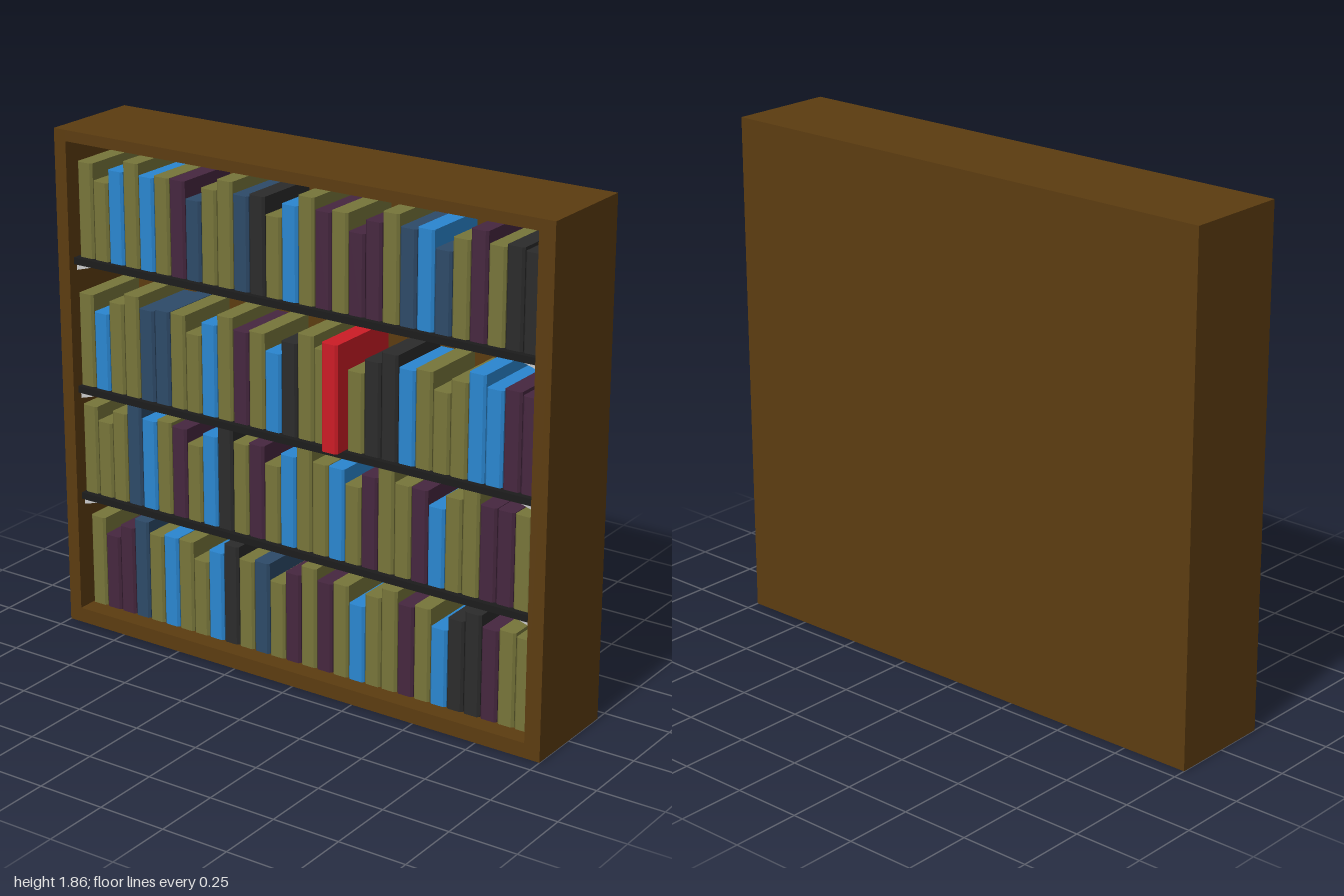
import * as THREE from 'three';

const mat = (color) => new THREE.MeshStandardMaterial({ color, flatShading: true });
const wood = mat(0x5c3c10), black = mat(0x1c1c1c), grey = mat(0xcccccc);
const covers = {
  O: mat(0x77753a), B: mat(0x2a86d0), P: mat(0x46273f),
  N: mat(0x2d4a68), K: mat(0x2b2b2b), R: mat(0xcc1c26),
};
const heights = [0, 0.285, 0.335, 0.345, 0.375, 0.385];

// Each book is a cover letter followed by a height step.
const rows = [
  { y: 1.395, x0: -0.942, x1: 0.932, books: 'O3 O1 B2 O4 B2 O3 P3 N1 O2 O4 N2 K3 O1 B2 O4 P2 O3 P1 P2 O4 N2 B3 N1 O2 P4 O2 K3 K2' },
  { y: 0.915, x0: -0.955, x1: 0.937, books: 'O3 B1 O2 O4 N2 N3 O3 O1 B2 O4 P2 O3 B1 K2 O4 O2 R5 O1 K2 K4 B2 O3 O1 O2 B4 B2 P3 P2' },
  { y: 0.505, x0: -0.952, x1: 0.92, books: 'O2 O1 O2 N4 B2 O3 P2 O1 B2 K4 O2 P3 O1 B2 O4 O2 B2 O1 P2 O4 O2 P2 B1 O2 O4 P2 P2 O2' },
  { y: 0.07, x0: -0.93, x1: 0.936, books: 'O3 P1 P2 N4 O2 B3 O3 O1 B2 K4 O2 N3 O1 P2 O4 P2 O3 B1 O2 O4 P2 O3 B1 K2 K4 P2 O3 O2' },
];

// Box given by its minimum and maximum corners
function slab(name, material, x0, x1, y0, y1, z0, z1) {
  const m = new THREE.Mesh(new THREE.BoxGeometry(x1 - x0, y1 - y0, z1 - z0), material);
  m.position.set((x0 + x1) / 2, (y0 + y1) / 2, (z0 + z1) / 2);
  m.name = name;
  return m;
}

// Book: footprint with a slightly chamfered spine, extruded upwards
function book(width, height, depth, material) {
  const w = width / 2, c = 0.008;
  const foot = new THREE.Shape([
    [-w, 0], [-w, depth - c], [-w + c, depth], [w - c, depth], [w, depth - c], [w, 0],
  ].map(([x, z]) => new THREE.Vector2(x, -z)).reverse());
  const geo = new THREE.ExtrudeGeometry(foot, { depth: height, bevelEnabled: false });
  geo.rotateX(-Math.PI / 2);
  const m = new THREE.Mesh(geo, material);
  m.name = 'book';
  return m;
}

export function createModel() {
  const model = new THREE.Group();
  model.name = 'bookcase';
  const front = 0.19, back = -0.2, inner = -0.15;

  // Case
  model.add(
    slab('backPanel', wood, -1, 1, 0, 1.86, back, inner),
    slab('leftSide', wood, 0.94, 1, 0, 1.86, inner, front),
    slab('rightSide', wood, -1, -0.95, 0, 1.86, inner, front),
    slab('topPanel', wood, -0.95, 0.94, 1.82, 1.86, inner, front),
    slab('basePanel', wood, -0.95, 0.94, 0, 0.055, inner, front),
  );

  // Shelves with a small wedge bracket under each end
  for (const { y } of rows.slice(0, 3)) {
    model.add(slab('shelf', black, -0.95, 0.94, y - 0.025, y, inner, 0.165));
    for (const [x, s] of [[-0.95, 1], [0.94, -1]]) {
      const tri = new THREE.Shape();
      tri.moveTo(x, y - 0.025);
      tri.lineTo(x, y - 0.05);
      tri.lineTo(x + s * 0.085, y - 0.025);
      const bracket = new THREE.Mesh(
        new THREE.ExtrudeGeometry(tri, { depth: 0.27, bevelEnabled: false }), grey);
      bracket.position.z = -0.12;
      bracket.name = 'shelfBracket';
      model.add(bracket);
    }
  }

  // Rows of books; the red one is pulled out past the front
  for (const { y, x0, x1, books } of rows) {
    const row = new THREE.Group();
    row.name = 'bookRow';
    const list = books.split(' ');
    const pitch = (x1 - x0) / list.length;
    list.forEach(([cover, size], i) => {
      const pulled = cover === 'R';
      const b = book(pitch - 0.003, heights[size], pulled ? 0.31 : 0.265, covers[cover]);
      b.position.set(x0 + (i + 0.5) * pitch, y, pulled ? -0.11 : -0.12);
      row.add(b);
    });
    model.add(row);
  }
  return model;
}
